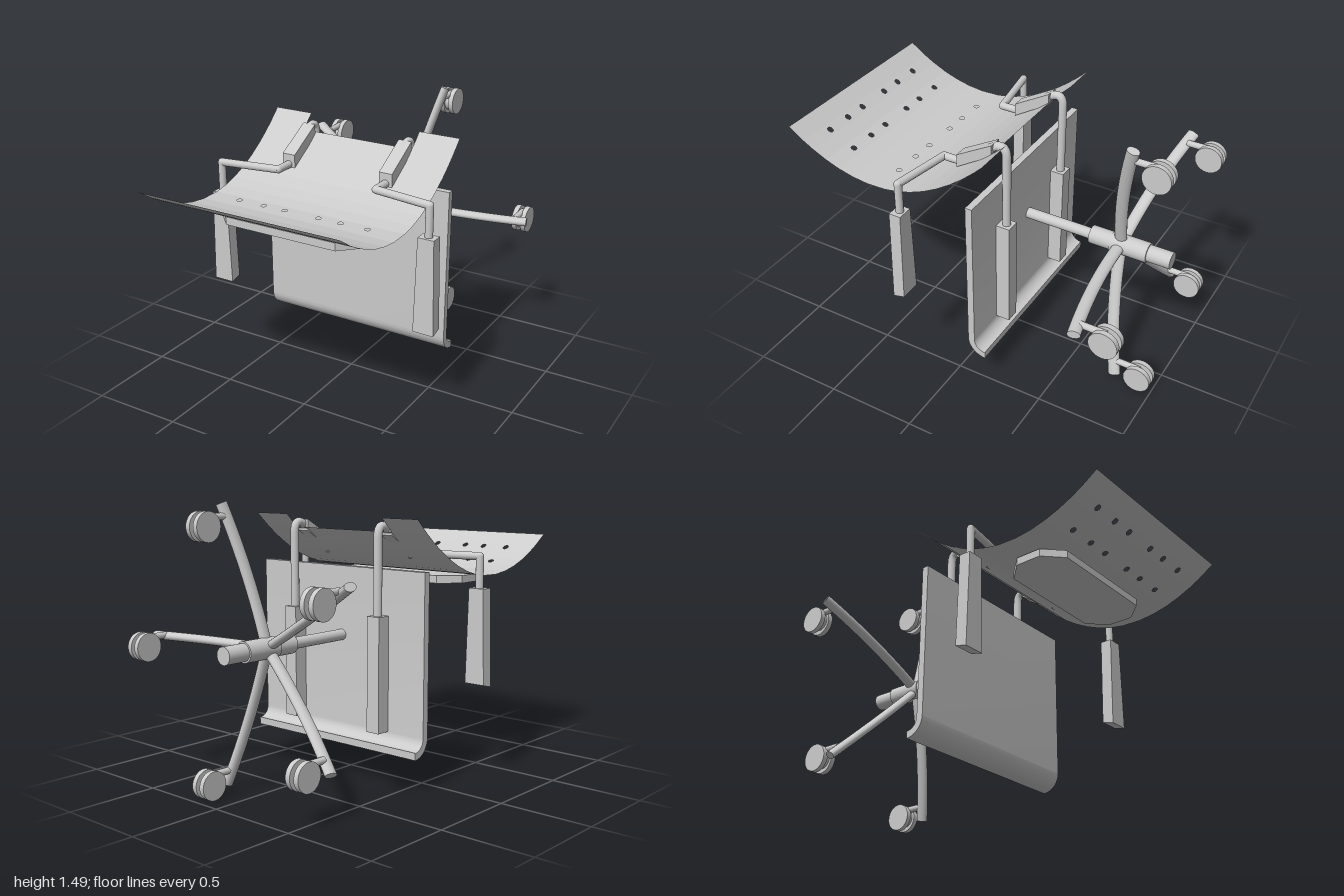
import * as THREE from 'three';
import { mergeGeometries, toCreasedNormals } from 'three/addons/utils/BufferGeometryUtils.js';

const V = (x, y, z) => new THREE.Vector3(x, y, z);
const MID = -0.03; // symmetry plane of the seat assembly

export function createModel() {
  const model = new THREE.Group();
  const mat = new THREE.MeshStandardMaterial({ color: 0xcccccc });
  const thin = new THREE.MeshStandardMaterial({ color: 0xcccccc, side: THREE.DoubleSide });

  const add = (name, geo, parent = model, material = mat) => {
    const m = new THREE.Mesh(geo, material);
    m.name = name;
    parent.add(m);
    return m;
  };
  // Extrude a (z, y) outline along x between two x values
  const extrudeX = (shape, x0, x1) => {
    const g = new THREE.ExtrudeGeometry(shape, { depth: x1 - x0, bevelEnabled: false, curveSegments: 10 });
    return toCreasedNormals(g.rotateY(-Math.PI / 2).translate(x1, 0, 0), 0.6);
  };
  const outline = (pts) => new THREE.Shape(pts.map(([a, b]) => new THREE.Vector2(a, b)));
  // Round bar between two points
  const rod = (a, b, r, sides = 20) => {
    const d = b.clone().sub(a);
    const g = new THREE.CylinderGeometry(r, r, d.length(), sides);
    g.applyQuaternion(new THREE.Quaternion().setFromUnitVectors(V(0, 1, 0), d.clone().normalize()));
    return g.translate(...a.clone().add(b).multiplyScalar(0.5).toArray());
  };

  // Seat panel with its front edge rolled over
  const seat = new THREE.Shape();
  seat.moveTo(-0.085, 1.14);
  seat.lineTo(-0.085, 0.287);
  seat.absarc(-0.187, 0.287, 0.102, 0, -Math.PI / 2, true);
  seat.lineTo(-0.187, 0.225);
  seat.absarc(-0.187, 0.287, 0.064, -Math.PI / 2, 0, false);
  seat.lineTo(-0.123, 1.14);
  add('seat', extrudeX(seat, -0.6, 0.54));

  // Backrest: curved perforated sheet made of bent strips, notched in the middle
  const curveY = (z) => 1.08 + (z > 0.47 ? 0.69 : 0.76) * (z - 0.47) ** 2;
  const bands = [1, 0.91, 0.85, 0.77, 0.69, 0.6, 0.51, 0.4, 0.32, 0.24, 0.16, 0.08, 0, -0.06, -0.105, -0.145, -0.185];
  const holeZ = [0.88, 0.73, 0.44];
  const holeX = [-0.42, -0.265, -0.135, 0.07, 0.2, 0.355];
  const strips = [];
  for (let i = 0; i < bands.length - 1; i++) {
    const [z1, z0] = [bands[i], bands[i + 1]];
    const spans = z1 < -0.1 ? [[-0.6, -0.37], [0.305, 0.54]] : [[-0.6, 0.54]];
    for (const [a, b] of spans) {
      const s = outline([[a, z0], [b, z0], [b, z1], [a, z1]]);
      for (const hz of holeZ.filter((h) => h > z0 && h < z1))
        for (const hx of holeX) s.holes.push(new THREE.Path().absarc(hx, hz, 0.015, 0, Math.PI * 2, true));
      const g = new THREE.ShapeGeometry(s, 8);
      const p = g.attributes.position;
      const [y0, y1] = [curveY(z0), curveY(z1)];
      for (let k = 0; k < p.count; k++) {
        const z = p.getY(k);
        p.setXYZ(k, p.getX(k), y0 + ((z - z0) / (z1 - z0)) * (y1 - y0), z);
      }
      g.computeVertexNormals();
      strips.push(g);
    }
  }
  add('backrest', mergeGeometries(strips), model, thin);

  // Chamfered pad behind the backrest
  const c = 0.1;
  const pad = outline([[-0.455 + c, -0.645], [0.395 - c, -0.645], [0.395, -0.645 + c], [0.395, -0.3 - c],
    [0.395 - c, -0.3], [-0.455 + c, -0.3], [-0.455, -0.3 - c], [-0.455, -0.645 + c]]);
  add('backPad', new THREE.ExtrudeGeometry(pad, { depth: 0.042, bevelEnabled: false })
    .rotateX(-Math.PI / 2).translate(0, 1.031, 0));

  // Frame and armrest on both sides
  for (const side of [-1, 1]) {
    const frame = new THREE.Group();
    frame.name = side > 0 ? 'leftFrame' : 'rightFrame';
    model.add(frame);
    const X = (d) => MID + side * d;
    const xb = X(0.298);

    add('backBracket', extrudeX(outline([[0.11, 1.185], [0.11, 1.257], [-0.097, 1.375], [-0.097, 1.312]]),
      xb - 0.038, xb + 0.038), frame);
    add('seatRail', new THREE.BoxGeometry(0.08, 0.615, 0.08).translate(xb, 0.592, -0.162), frame);
    // Bent tube joining rail and bracket
    const path = new THREE.CurvePath();
    path.add(new THREE.LineCurve3(V(xb, 0.88, -0.164), V(xb, 1.3, -0.164)));
    path.add(new THREE.CubicBezierCurve3(V(xb, 1.3, -0.164), V(xb, 1.375, -0.164), V(xb, 1.375, -0.13), V(xb, 1.335, -0.07)));
    add('backTube', new THREE.TubeGeometry(path, 40, 0.023, 16), frame);
    // Armrest tube: forward, outward, then down
    const corners = [V(xb, 1.2, 0.1), V(xb, 1.2, 0.21), V(X(0.632), 1.2, 0.265), V(X(0.632), 1.02, 0.265)];
    for (let i = 0; i < 3; i++) {
      add('armTube', rod(corners[i], corners[i + 1], 0.021), frame);
      if (i) add('armElbow', new THREE.SphereGeometry(0.021, 16, 12).translate(...corners[i].toArray()), frame);
    }
    // Tapered armrest grip with slanted end
    const grip = new THREE.BoxGeometry(1, 1, 0.067);
    const p = grip.attributes.position;
    for (let k = 0; k < p.count; k++) {
      const top = p.getY(k) > 0;
      p.setXYZ(k, X(0.632) + p.getX(k) * (top ? 0.09 : 0.118),
        top ? 1.033 : 0.515 - p.getZ(k) * 0.25, p.getZ(k) + 0.267);
    }
    grip.computeVertexNormals();
    add('armrest', grip, frame);
  }

  // Gas column and hub
  const cx = -0.042, cy = 0.767;
  const axis = (z0, z1, r) => rod(V(cx, cy, z0), V(cx, cy, z1), r, 28);
  add('column', axis(-0.12, -0.52, 0.03));
  add('hubCollar', axis(-0.51, -0.64, 0.05));
  add('hub', axis(-0.63, -0.84, 0.055));
  add('hubEnd', axis(-0.83, -0.97, 0.046));

  // Five curved legs [tip x, tip y, caster x, caster y]
  const legs = [
    [0.71, 0.765, 0.635, 0.727], [0.16, 1.485, 0.14, 1.375], [-0.69, 1.135, -0.62, 1.065],
    [-0.57, 0.24, -0.52, 0.26], [0.16, 0.045, 0.14, 0.078],
  ];
  for (const [tx, ty, wx, wy] of legs) {
    const len = Math.hypot(tx - cx, ty - cy);
    const bend = new THREE.QuadraticBezierCurve3(V(0, 0, -0.68), V(len * 0.5, 0, -0.69), V(len, 0, -0.785));
    const end = (r, t, turn) => {
      const pt = bend.getPoint(t), dir = bend.getTangent(t);
      return new THREE.CircleGeometry(r, 16).rotateY(Math.atan2(dir.x, dir.z) + turn).translate(pt.x, 0, pt.z);
    };
    const leg = mergeGeometries([new THREE.TubeGeometry(bend, 24, 0.034, 16), end(0.034, 1, 0)]);
    leg.scale(1, 0.68, 1).rotateZ(Math.atan2(ty - cy, tx - cx)).translate(cx, cy, 0);
    add('leg', leg);

    // Twin-wheel caster
    const caster = new THREE.Group();
    caster.name = 'caster';
    caster.position.set(wx, wy, -0.92);
    model.add(caster);
    for (const s of [-1, 1])
      add('wheel', rod(V(s * 0.013, 0, 0), V(s * 0.041, 0, 0), 0.076, 32), caster);
    add('wheelHousing', rod(V(-0.02, 0, 0.01), V(0.02, 0, 0.01), 0.052, 24), caster);
    add('casterStem', rod(V(0, 0.045, 0.14), V(0, 0.045, 0), 0.018, 16), caster);
  }
  return model;
}
